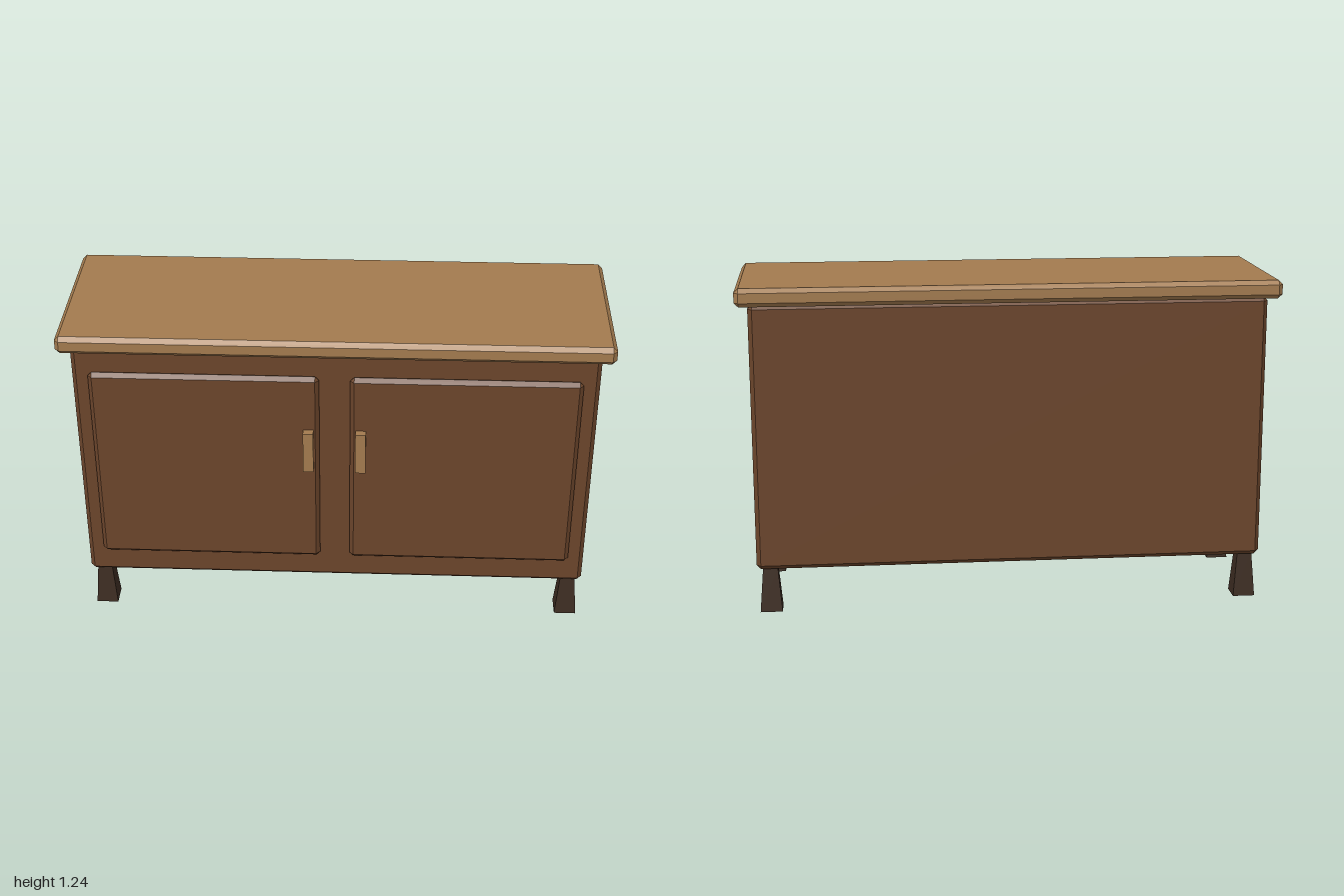
import * as THREE from 'three';
import { ConvexGeometry } from 'three/addons/geometries/ConvexGeometry.js';

const material = (name, color) => {
  const m = new THREE.MeshStandardMaterial({ color });
  m.name = name;
  return m;
};

// Box with every edge chamfered: three corner points around each of the eight corners
function chamferBox(w, h, d, b) {
  const points = [];
  for (const sx of [-1, 1]) for (const sy of [-1, 1]) for (const sz of [-1, 1]) {
    const [x, y, z] = [w / 2, h / 2, d / 2];
    points.push(
      new THREE.Vector3(sx * x, sy * (y - b), sz * (z - b)),
      new THREE.Vector3(sx * (x - b), sy * y, sz * (z - b)),
      new THREE.Vector3(sx * (x - b), sy * (y - b), sz * z),
    );
  }
  return new ConvexGeometry(points);
}

// Square leg that widens towards the floor
function legGeometry(topWidth, bottomWidth, height) {
  const g = new THREE.BoxGeometry(bottomWidth, height, bottomWidth);
  const p = g.attributes.position;
  const k = topWidth / bottomWidth;
  for (let i = 0; i < p.count; i++) {
    if (p.getY(i) > 0) p.setXYZ(i, p.getX(i) * k, p.getY(i), p.getZ(i) * k);
  }
  g.computeVertexNormals();
  return g;
}

export function createModel() {
  const group = new THREE.Group();
  group.name = 'sideboard';
  const brown = material('brown wood', 0x6b452b);
  const light = material('light wood', 0xa37b4f);
  const dark = material('dark wood', 0x3d2d22);
  const midZ = -0.006;

  const add = (name, geometry, mat, x, y, z) => {
    const mesh = new THREE.Mesh(geometry, mat);
    mesh.name = name;
    mesh.position.set(x, y, z);
    group.add(mesh);
  };

  // Cabinet and overhanging top
  add('cabinet', chamferBox(1.91, 1.0, 0.58, 0.016), brown, 0, 0.67, midZ);
  add('tabletop', chamferBox(2.0, 0.068, 0.662, 0.016), light, 0, 1.202, midZ);

  // Doors, handles and legs, mirrored left and right
  const door = chamferBox(0.838, 0.802, 0.032, 0.015);
  const handle = new THREE.BoxGeometry(0.038, 0.167, 0.03);
  const leg = legGeometry(0.055, 0.083, 0.17);
  for (const [side, s] of [['left', 1], ['right', -1]]) {
    add(`${side}Door`, door, brown, s * 0.475, 0.682, 0.296);
    add(`${side}Handle`, handle, light, s * 0.096, 0.78, 0.326);
    add(`${side}FrontLeg`, leg, dark, s * 0.905, 0.085, midZ + 0.235);
    add(`${side}BackLeg`, leg, dark, s * 0.905, 0.085, midZ - 0.235);
  }
  return group;
}
